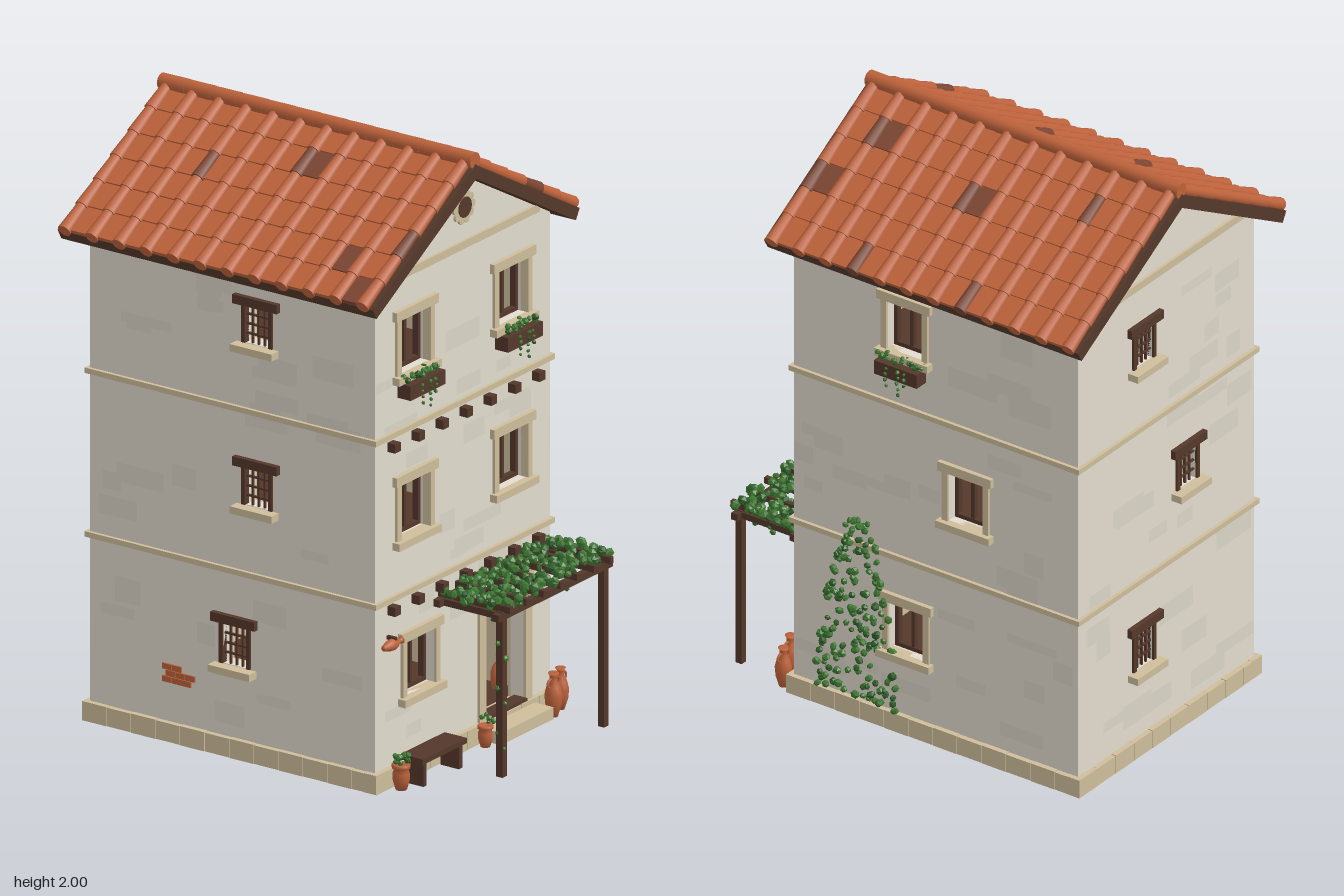
import * as THREE from 'three';
import { mergeGeometries } from 'three/addons/utils/BufferGeometryUtils.js';

const mat = (name, color) => Object.assign(new THREE.MeshStandardMaterial({ color }), { name });

export function createModel() {
  const house = new THREE.Group();
  house.name = 'house';
  const M = {
    wall: mat('plaster', 0xe2dccf), patch: mat('weatheredPlaster', 0xdbd5c8),
    stone: mat('trimStone', 0xcfbe9b), inner: mat('innerPlaster', 0xd2c1a0),
    wood: mat('darkWood', 0x54382b), tile: mat('roofTile', 0xbd623b),
    darkTile: mat('agedTile', 0x7c4633), leaf: mat('leaf', 0x3f7833),
    darkLeaf: mat('shadeLeaf', 0x2f5f28), base: mat('baseUnderside', 0x48312a),
  };
  let seed = 7;
  const rnd = (a = 0, b = 1) => {
    seed = (seed * 16807) % 2147483647;
    return a + (b - a) * seed / 2147483647;
  };
  const add = (parent, name, geo, m, x = 0, y = 0, z = 0) => {
    const mesh = new THREE.Mesh(geo, m);
    mesh.name = name;
    mesh.position.set(x, y, z);
    parent.add(mesh);
    return mesh;
  };
  const box = (parent, name, m, w, h, d, x, y, z) => add(parent, name, new THREE.BoxGeometry(w, h, d), m, x, y, z);
  const group = (parent, name, x = 0, y = 0, z = 0) => {
    const g = new THREE.Group();
    g.name = name;
    g.position.set(x, y, z);
    parent.add(g);
    return g;
  };
  // Small faceted leaves scattered over a list of points, in two greens
  const foliage = (parent, name, points, r) => {
    [M.leaf, M.darkLeaf].forEach((m, k) => {
      const geos = points.filter((p, i) => (i % 3 === 2) === (k === 1)).map(p => {
        const s = r * rnd(0.75, 1.2);
        return new THREE.IcosahedronGeometry(1, 0).scale(s, s, s * 0.8).rotateY(rnd(0, 3)).rotateX(rnd(0, 3)).translate(...p);
      });
      if (geos.length) add(parent, name, mergeGeometries(geos), m);
    });
  };

  // Each wall's own frame: x along the wall, y up, z outward
  const HX = 0.466, ZF = 0.435, ZB = -0.658, APEX = 1.92, EAVE = 1.655;
  const walls = [
    { name: 'frontWall', rot: 0, pos: [0, 0, ZF], a: -HX, b: HX, gable: true, wins: [
      [-0.26, 1.355, 0.155, 0.185, 'box'], [0.26, 1.355, 0.155, 0.185, 'box'],
      [-0.26, 0.805, 0.155, 0.185, 'stone'], [0.26, 0.805, 0.155, 0.185, 'stone'],
      [-0.23, 0.275, 0.155, 0.185, 'stone'], [0.22, 0.066, 0.21, 0.404, 'door']] },
    { name: 'backWall', rot: Math.PI, pos: [0, 0, ZB], a: -HX, b: HX, gable: true, wins: [
      [-0.12, 1.392, 0.09, 0.125, 'rustic'], [0.11, 0.852, 0.09, 0.125, 'rustic'], [-0.12, 0.306, 0.09, 0.135, 'rustic']] },
    { name: 'leftWall', rot: Math.PI / 2, pos: [HX, 0, 0], a: -ZF, b: -ZB, wins: [
      [-0.005, 1.36, 0.135, 0.175, 'box'], [0.23, 0.82, 0.135, 0.175, 'stone'], [0, 0.28, 0.135, 0.175, 'stone']] },
    { name: 'rightWall', rot: -Math.PI / 2, pos: [-HX, 0, 0], a: ZB, b: ZF, wins: [
      [-0.015, 1.392, 0.09, 0.125, 'rustic'], [-0.015, 0.852, 0.09, 0.125, 'rustic'], [-0.1, 0.306, 0.09, 0.135, 'rustic']] },
  ];

  const makeWindow = (wall, [x, y, w, h, style]) => {
    const g = group(wall, style === 'door' ? 'doorway' : 'window', x, y, 0);
    const rustic = style === 'rustic', door = style === 'door', jamb = door ? 0.036 : 0.022;
    if (rustic) {
      box(g, 'lintel', M.wood, 0.17, 0.03, 0.04, 0, h + 0.017, -0.002);
      box(g, 'sill', M.stone, 0.16, 0.024, 0.06, 0, -0.014, 0.008);
    } else {
      box(g, 'lintel', M.stone, w + 0.07, 0.032, 0.04, 0, h + 0.016, -0.004);
      for (const s of [-1, 1]) box(g, 'jamb', M.stone, jamb, h, 0.03, s * (w + jamb) / 2, h / 2, -0.005);
      if (!door) box(g, 'sill', M.stone, w + 0.07, 0.025, 0.05, 0, -0.0125, 0.002);
    }
    if (door) {
      box(g, 'threshold', M.wood, w, 0.012, 0.05, 0, 0.004, -0.01);
      box(g, 'doorStep', M.stone, 0.28, 0.04, 0.1, 0, -0.035, 0.04);
      return;
    }
    // Wooden frame set back in the reveal; the small barred windows carry theirs around the opening
    const t = 0.014;
    for (const s of [-1, 1]) {
      if (rustic) box(g, 'frameSide', M.wood, t, h, 0.025, s * (w + t) / 2, h / 2, -0.005);
      else {
        box(g, 'frameSide', M.wood, t, h, 0.02, s * (w - t) / 2, h / 2, -0.04);
        box(g, 'frameRail', M.wood, w, t, 0.02, 0, s > 0 ? h - t / 2 : t / 2, -0.04);
      }
    }
    if (!rustic) box(g, 'mullion', M.wood, 0.012, h, 0.016, 0, h / 2, -0.04);
    else {
      for (const s of [-1, 0, 1]) {
        box(g, 'bar', M.wood, 0.006, h, 0.008, s * 0.023, h / 2, -0.008);
        box(g, 'crossBar', M.wood, w, 0.006, 0.008, 0, h / 2 + s * 0.032, -0.008);
      }
    }
    // Flower box with trailing plants
    if (style === 'box') {
      box(g, 'flowerBox', M.wood, w + 0.03, 0.048, 0.05, 0, -0.048, 0.03);
      const pts = [], trail = [];
      for (let i = 0; i < 26; i++) pts.push([rnd(-0.085, 0.085), rnd(-0.02, 0.0), rnd(0.012, 0.046)]);
      for (const [tx, n] of [[-0.035, 4], [0.01, 5], [0.035, 3]])
        for (let k = 0; k < n; k++) trail.push([tx + rnd(-0.004, 0.004), -0.035 - k * 0.02, 0.06]);
      foliage(g, 'flowerBoxPlants', pts, 0.011);
      foliage(g, 'trailingPlants', trail, 0.007);
    }
  };

  for (const W of walls) {
    const g = group(house, W.name, ...W.pos);
    g.rotation.y = W.rot;
    // Wall slab pierced by its openings; the lining is inset at the edges
    const slab = (depth, inset) => {
      const a = W.a + inset, b = W.b - inset, top = EAVE - inset;
      const s = new THREE.Shape([[a, 0.02], [b, 0.02], [b, top], ...(W.gable ? [[0, APEX - inset]] : []), [a, top]]
        .map(p => new THREE.Vector2(...p)));
      for (const [x, y, w, h] of W.wins) {
        const x0 = x - w / 2, x1 = x + w / 2;
        s.holes.push(new THREE.Path([[x0, y], [x0, y + h], [x1, y + h], [x1, y]].map(p => new THREE.Vector2(...p))));
      }
      return new THREE.ExtrudeGeometry(s, { depth, bevelEnabled: false });
    };
    add(g, 'plaster', slab(0.05, 0), M.wall, 0, 0, -0.05);
    add(g, 'innerLining', slab(0.008, 0.02), M.inner, 0, 0, -0.0582);
    W.wins.forEach(w => makeWindow(g, w));
    // Weathered plaster patches, kept clear of openings
    for (let i = 0; i < 30; i++) {
      const w = rnd(0.07, 0.2), h = rnd(0.03, 0.085), x = rnd(W.a + w / 2, W.b - w / 2), y = rnd(0.12, 1.58);
      if (W.wins.some(v => Math.abs(v[0] - x) < (v[2] + w) / 2 + 0.02 && Math.abs(v[1] + v[3] / 2 - y) < (v[3] + h) / 2 + 0.02)) continue;
      add(g, 'plasterPatch', new THREE.PlaneGeometry(w, h), M.patch, x, y, 0.0006 + i * 0.00002);
    }
    // String courses and plinth blocks
    const len = W.b - W.a, mid = (W.a + W.b) / 2;
    for (const y of [0.622, 1.167]) box(g, 'stringCourse', M.stone, len + 0.024, 0.018, 0.024, mid, y, 0);
    const n = W.gable ? 10 : 12, bl = (len + 0.036) / n;
    for (let i = 0; i < n; i++)
      box(g, 'plinthBlock', M.stone, bl - 0.002, 0.064 - (i % 2) * 0.002, 0.05, mid + (i - (n - 1) / 2) * bl, 0.034, -0.007);
    if (W.gable) box(g, 'gableCourse', M.stone, 0.8, 0.026, 0.02, 0, 1.685, 0);
    else for (let z = -0.6; z < 0.42; z += 0.165)
      box(g, 'rafterTail', M.wood, 0.022, 0.03, 0.04, W.rot > 0 ? -z : z, 1.618, 0.005);
    if (W.name === 'frontWall') {
      // Projecting joist ends and gable rosette
      for (let i = -3; i <= 3; i++) for (const y of [0.588, 1.132])
        box(g, 'joistEnd', M.wood, 0.03, 0.03, 0.05, i * 0.1285, y, 0.005);
      const r = group(g, 'rosette', 0, 1.81, 0);
      const disc = (name, m, rad, d, x, y) => add(r, name, new THREE.CylinderGeometry(rad, rad, d, 16).rotateX(Math.PI / 2), m, x, y, 0);
      for (let i = 0; i < 10; i++) disc('petal', M.stone, 0.014, 0.018, 0.043 * Math.cos(i * Math.PI / 5), 0.043 * Math.sin(i * Math.PI / 5));
      disc('rosetteCentre', M.wood, 0.034, 0.024, 0, 0);
    }
    if (W.name === 'rightWall') // Exposed bricks
      for (let i = 0; i < 8; i++)
        box(g, 'exposedBrick', M.tile, 0.036, 0.019, 0.008, -0.36 + (i % 3) * 0.037 + (i > 2 && i < 6 ? 0.015 : 0), 0.205 + Math.floor(i / 3) * 0.021, 0.002);
  }

  // Floors and underside
  const zc = (ZF + ZB) / 2, depth = ZF - ZB;
  box(house, 'underside', M.base, 2 * HX + 0.01, 0.02, depth + 0.01, 0, 0.01, zc);
  for (const y of [0.055, 0.615, 1.16]) box(house, 'floor', M.wood, 2 * HX - 0.1, 0.015, depth - 0.1, 0, y, zc);

  // Roof: boards, pan tiles and rounded cover tiles on two slopes
  const angle = Math.atan(0.315 / 0.555), SL = 0.637, rows = 6, tl = SL / rows, pitch = 0.1037, z0 = -0.687;
  const aged = { '1': ['c2,1', 'c4,5', 'p5,2', 'c6,2', 'c8,5', 'p9,1', 'c10,1', 'p10,3', 'c11,3'],
    '-1': ['c3,2', 'c6,1', 'p6,1', 'p9,4', 'p10,5', 'c11,3'] };
  for (const s of [1, -1]) {
    const g = group(house, 'roofSlope', 0, 1.965, 0);
    g.rotation.set(0, s < 0 ? Math.PI : 0, -angle);
    box(g, 'roofBoard', M.wood, SL, 0.04, 1.208, SL / 2, -0.025, s * -0.116);
    const sets = { tile: [], darkTile: [] };
    for (let j = 0; j < 12; j++) for (let i = 0; i < rows; i++) {
      const x = (i + 0.5) * tl, pick = k => sets[aged[s].includes(`${k}${j},${i}`) ? 'darkTile' : 'tile'];
      pick('c').push(new THREE.CylinderGeometry(0.018, 0.023, tl + 0.008, 10).rotateZ(Math.PI / 2)
        .translate(x + 0.002, 0.006, s * (z0 + j * pitch)));
      if (j < 11) pick('p').push(new THREE.BoxGeometry(tl + 0.004, 0.012, pitch - 0.02).rotateZ(0.05)
        .translate(x - 0.002, 0.001, s * (z0 + (j + 0.5) * pitch)));
    }
    add(g, 'roofTiles', mergeGeometries(sets.tile), M.tile);
    add(g, 'agedRoofTiles', mergeGeometries(sets.darkTile), M.darkTile);
  }
  for (let j = 0; j < 12; j++)
    add(house, 'ridgeTile', new THREE.CylinderGeometry(0.027, 0.026, 0.101, 12).rotateX(Math.PI / 2), M.tile, 0, 1.973, -0.667 + j * 0.1);

  // Pergola with climbing leaves
  const P = group(house, 'pergola');
  for (const x of [-0.125, 0.417]) {
    box(P, 'post', M.wood, 0.024, 0.55, 0.024, x, 0.28, 0.675);
    box(P, 'wallBracket', M.wood, 0.024, 0.022, 0.25, x, 0.54, 0.55);
  }
  for (const z of [0.45, 0.675]) box(P, 'crossBeam', M.wood, 0.61, 0.024, 0.024, 0.146, 0.54, z);
  const vine = [], hanging = [];
  for (let i = 0; i < 7; i++) {
    const x = -0.122 + i * 0.0895;
    box(P, 'rafter', M.wood, 0.016, 0.022, 0.275, x, 0.564, 0.573);
    for (let k = 0; k < 36; k++) vine.push([x + rnd(-0.034, 0.034), rnd(0.562, 0.588), rnd(0.45, 0.695)]);
    for (let k = 0; k < 5; k++) hanging.push([x + rnd(-0.03, 0.03), rnd(0.5, 0.54), rnd(0.5, 0.65)]);
  }
  for (let k = 0; k < 10; k++) hanging.push([-0.125 + 0.013 * Math.cos(k * 2), 0.05 + k * 0.05, 0.675 + 0.013 * Math.sin(k * 2)]);
  foliage(P, 'pergolaLeaves', vine, 0.016);
  foliage(P, 'hangingLeaves', hanging, 0.01);

  // Climber on the side wall, narrowing towards the top
  const climb = [];
  for (let i = 0; i < 170; i++) {
    const t = Math.pow(rnd(), 1.25), half = 0.15 * Math.sqrt(1 - t) + 0.015;
    climb.push([HX + rnd(0.008, 0.022), 0.075 + t * 0.645, 0.187 - t * 0.01 + rnd(-half, half)]);
  }
  foliage(house, 'wallClimber', climb, 0.0135);

  // Bench
  box(house, 'benchSeat', M.wood, 0.235, 0.018, 0.085, -0.23, 0.088, 0.49);
  for (const x of [-0.325, -0.135]) box(house, 'benchLeg', M.wood, 0.018, 0.08, 0.07, x, 0.04, 0.49);

  // Clay pots and jars
  const lathe = (name, pts, x, y, z, k = 1) => add(house, name,
    new THREE.LatheGeometry(pts.map(p => new THREE.Vector2(p[0] * k, p[1] * k)), 14), M.tile, x, y, z);
  const pot = [[0, 0], [0.018, 0], [0.027, 0.03], [0.027, 0.055], [0.022, 0.068], [0.03, 0.072], [0.03, 0.083], [0.024, 0.085], [0, 0.078]];
  const jar = [[0, 0], [0.014, 0], [0.026, 0.04], [0.029, 0.07], [0.022, 0.1], [0.012, 0.115], [0.012, 0.135], [0.018, 0.145], [0, 0.14]];
  for (const [x, z, k] of [[-0.41, 0.495, 1], [0.046, 0.49, 0.85]]) {
    lathe('plantPot', pot, x, 0.01, z, k);
    const pts = [];
    for (let i = 0; i < (k < 1 ? 5 : 16); i++)
      pts.push([x + rnd(-0.02, 0.02), (k < 1 ? 0.085 : 0.1) + rnd(0, 0.03) * k, z + rnd(-0.02, 0.02)]);
    foliage(house, 'potPlant', pts, 0.011 * k);
  }
  for (const [x, z, k] of [[0.395, 0.5, 1], [0.46, 0.48, 0.95]]) {
    lathe('clayJar', jar, x, 0.005, z, k);
    for (const s of [-1, 1])
      add(house, 'jarHandle', new THREE.TorusGeometry(0.014 * k, 0.004, 6, 12), M.tile, x + s * 0.017 * k, 0.005 + 0.112 * k, z);
  }
  lathe('leaningJar', jar, 0.28, 0.1, 0.36, 0.75).rotation.z = -0.2;
  box(house, 'stoolSeat', M.wood, 0.05, 0.01, 0.05, 0.145, 0.205, 0.05);
  box(house, 'stoolLeg', M.wood, 0.016, 0.14, 0.016, 0.145, 0.13, 0.05);

  // Wall-hung clay jug on its bracket
  lathe('hangingJug', jar, -0.455, 0.483, 0.46, 0.66).rotation.z = -Math.PI / 2;
  box(house, 'jugBracket', M.wood, 0.012, 0.012, 0.04, -0.4, 0.5, 0.45);
  return house;
}
